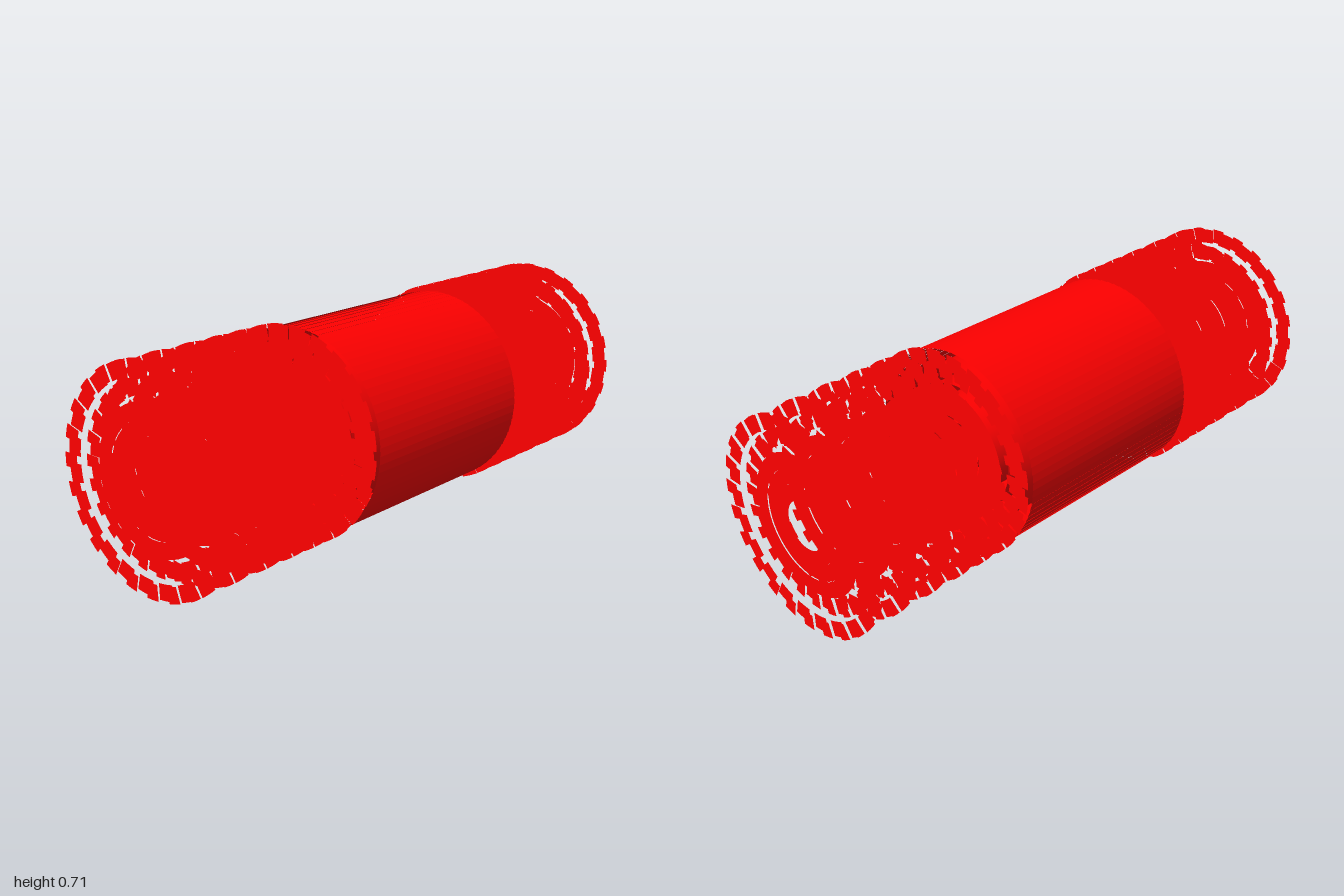
import * as THREE from 'three';

const RADIUS = 0.355;
const red = new THREE.MeshStandardMaterial({ color: 0xff0000, side: THREE.DoubleSide });

function addMesh(parent, name, geometry, z = 0) {
  const mesh = new THREE.Mesh(geometry, red);
  mesh.name = name;
  mesh.position.z = z;
  parent.add(mesh);
  return mesh;
}

function addGroup(parent, name) {
  const group = new THREE.Group();
  group.name = name;
  parent.add(group);
  return group;
}

// Ring of flat wedge panels; every second one is set back and reaches under its neighbours
function addStaggeredRing(parent, name, inner, outer, z) {
  const ring = addGroup(parent, name);
  const count = 48;
  const step = (Math.PI * 2) / count;
  for (let i = 0; i < count; i++) {
    const back = i % 2;
    const width = step * (back ? 1.4 : 1);
    const start = Math.PI / 2 + i * step - width / 2;
    addMesh(ring, 'panel', new THREE.RingGeometry(inner, outer, 1, 1, start, width), back ? z - 0.014 : z);
  }
}

// Large end plate: two staggered outer rings and three inner bands
function addPlate(parent, z) {
  const plate = addGroup(parent, 'endPlate');
  plate.position.z = z;
  addStaggeredRing(plate, 'outerRing', 0.303, RADIUS, 0.025);
  addStaggeredRing(plate, 'secondRing', 0.246, 0.298, -0.008);
  addMesh(plate, 'wideBand', new THREE.RingGeometry(0.18, 0.231, 64), 0.002);
  addMesh(plate, 'middleBand', new THREE.RingGeometry(0.13, 0.18, 64), -0.002);
  addMesh(plate, 'innerBand', new THREE.RingGeometry(0.08, 0.13, 64), 0.002);
}

// Open sleeve along z
function addSleeve(parent, radius, length) {
  const sleeve = addMesh(parent, 'innerSleeve', new THREE.CylinderGeometry(radius, radius, length, 48, 1, true));
  sleeve.rotation.x = Math.PI / 2;
}

// Outer sleeve of long, slightly tilted overlapping staves
function addStaves(parent, radius, length, count) {
  const staves = addGroup(parent, 'outerSleeve');
  const width = ((Math.PI * 2 * radius) / count) * 1.1;
  const geometry = new THREE.PlaneGeometry(width, length);
  geometry.rotateX(-Math.PI / 2);
  geometry.rotateZ(0.08);
  geometry.translate(0, radius, 0);
  for (let i = 0; i < count; i++) {
    addMesh(staves, 'stave', geometry).rotation.z = (i / count) * Math.PI * 2;
  }
}

export function createModel() {
  const model = new THREE.Group();
  model.name = 'ringedCylinder';
  const body = addGroup(model, 'body');
  body.position.y = RADIUS;

  // Nested sleeves in the middle
  addStaves(body, 0.338, 0.75, 80);
  for (const radius of [0.271, 0.218, 0.165, 0.119, 0.086]) addSleeve(body, radius, 0.72);
  for (const radius of [0.055, 0.038, 0.024]) addSleeve(body, radius, 0.33);

  // Plates spread further apart towards the two ends, small hub discs inside
  for (const turn of [0, Math.PI]) {
    const end = addGroup(body, turn ? 'backEnd' : 'frontEnd');
    end.rotation.y = turn;
    for (const z of [0.403, 0.496, 0.595, 0.711, 0.843, 0.975]) addPlate(end, z);
    for (const z of [0.198, 0.231, 0.271, 0.317, 0.364, 0.43, 0.496]) {
      addMesh(end, 'hubDisc', new THREE.RingGeometry(0.015, 0.056, 48), z);
    }
  }
  return model;
}
